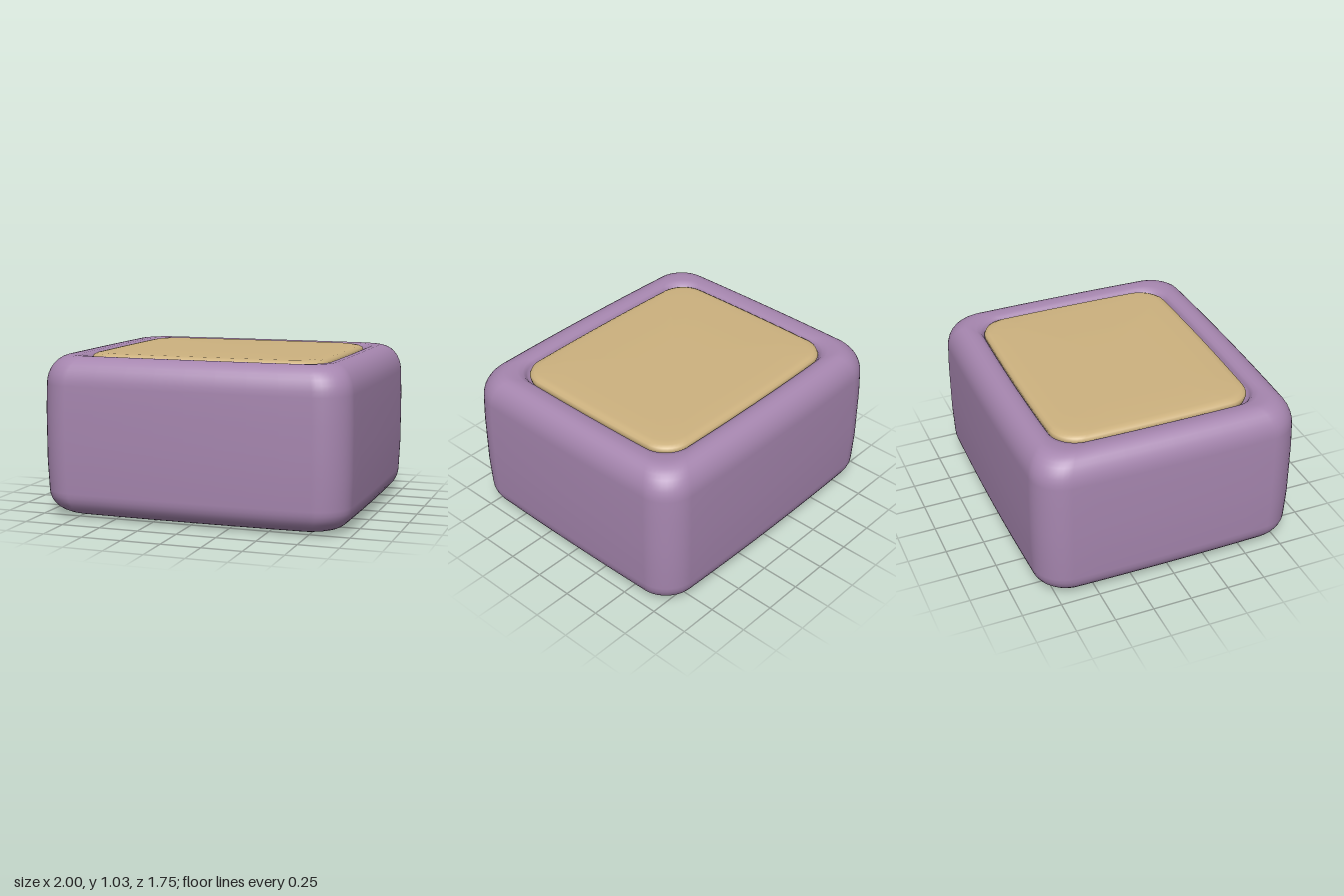
import * as THREE from 'three';

const CORNER_STEPS = 10, EDGE_STEPS = 8;

// Rounded rectangle outline whose straight sides bow out slightly
function outline(hw, hd, r) {
  const points = [];
  const corners = [[1, 1], [-1, 1], [-1, -1], [1, -1]];
  corners.forEach(([sx, sz], q) => {
    const cx = sx * (hw - r), cz = sz * (hd - r);
    for (let i = 0; i <= CORNER_STEPS; i++) {
      const a = (q + i / CORNER_STEPS) * Math.PI / 2;
      points.push([cx + r * Math.cos(a), cz + r * Math.sin(a)]);
    }
    // Points along the straight side leading to the next corner
    const [nx, nz] = corners[(q + 1) % 4];
    const a = (q + 1) * Math.PI / 2;
    const start = [cx + r * Math.cos(a), cz + r * Math.sin(a)];
    const end = [nx * (hw - r) + r * Math.cos(a), nz * (hd - r) + r * Math.sin(a)];
    for (let i = 1; i < EDGE_STEPS; i++) {
      const t = i / EDGE_STEPS;
      points.push([start[0] + (end[0] - start[0]) * t, start[1] + (end[1] - start[1]) * t]);
    }
  });
  return points.map(([x, z]) => {
    const u = hw ? x / hw : 0, v = hd ? z / hd : 0;
    return [x * (1 - 0.012 * v * v), z * (1 - 0.022 * u * u)];
  });
}

// Skin a stack of outlines, each given as [half width, half depth, corner radius, y]
function loft(rings) {
  const position = [], index = [];
  let n = 0;
  rings.forEach(([hw, hd, r, y]) => {
    const ring = outline(hw, hd, r);
    n = ring.length;
    ring.forEach(([x, z]) => position.push(x, y, z));
  });
  for (let j = 0; j < rings.length - 1; j++) {
    for (let i = 0; i < n; i++) {
      const a = j * n + i, b = j * n + (i + 1) % n;
      index.push(a, a + n, b, b, a + n, b + n);
    }
  }
  const geometry = new THREE.BufferGeometry();
  geometry.setAttribute('position', new THREE.Float32BufferAttribute(position, 3));
  geometry.setIndex(index);
  geometry.computeVertexNormals();
  return geometry;
}

export function createModel() {
  const group = new THREE.Group();
  group.name = 'cushionedBlock';

  const purple = new THREE.MeshStandardMaterial({ color: 0xa686af });
  purple.name = 'purple';
  const tan = new THREE.MeshStandardMaterial({ color: 0xcdb27f });
  tan.name = 'tan';

  // Body: soft bottom edge, upright walls, rounded rim and recess for the pad
  const W = 1, D = 0.875, R = 0.2;
  const body = [[0, 0, 0, 0], [0.5, 0.4, 0.1, 0.002], [0.8, 0.68, 0.13, 0.006]];
  const ring = (d, y) => body.push([W - d, D - d, R - d * 0.35, y]);
  const STEPS = 8, B = 0.15;
  for (let i = 0; i <= STEPS; i++) {
    const a = i / STEPS * Math.PI / 2;
    ring(0.008 + B * (1 - Math.sin(a)), 0.01 + B * (1 - Math.cos(a)));
  }
  [0.35, 0.5, 0.68].forEach((y) => ring(0, y));
  for (let i = 0; i <= STEPS; i++) {
    const a = i / STEPS * Math.PI / 2;
    ring(0.005 + 0.135 * (1 - Math.cos(a)), 0.835 + 0.178 * Math.sin(a));
  }
  body.push(
    [0.82, 0.705, 0.17, 1.01], [0.795, 0.68, 0.17, 1.0],
    [0.782, 0.667, 0.17, 0.98], [0.772, 0.657, 0.17, 0.95],
    [0.74, 0.63, 0.15, 0.94], [0, 0, 0, 0.94],
  );
  const bodyMesh = new THREE.Mesh(loft(body), purple);
  bodyMesh.name = 'body';
  group.add(bodyMesh);

  // Inset pad: thin, softly domed, sitting just above the rim
  const pad = [
    [0, 0, 0, 0.945], [0.74, 0.63, 0.15, 0.945], [0.765, 0.65, 0.17, 0.96],
    [0.77, 0.655, 0.17, 0.985], [0.763, 0.648, 0.165, 1.002],
    [0.745, 0.63, 0.16, 1.013], [0.715, 0.6, 0.15, 1.018],
    [0.6, 0.5, 0.12, 1.021], [0.3, 0.25, 0.06, 1.025], [0, 0, 0, 1.026],
  ];
  const padMesh = new THREE.Mesh(loft(pad), tan);
  padMesh.name = 'topPad';
  padMesh.position.z = -0.01;
  group.add(padMesh);

  return group;
}
